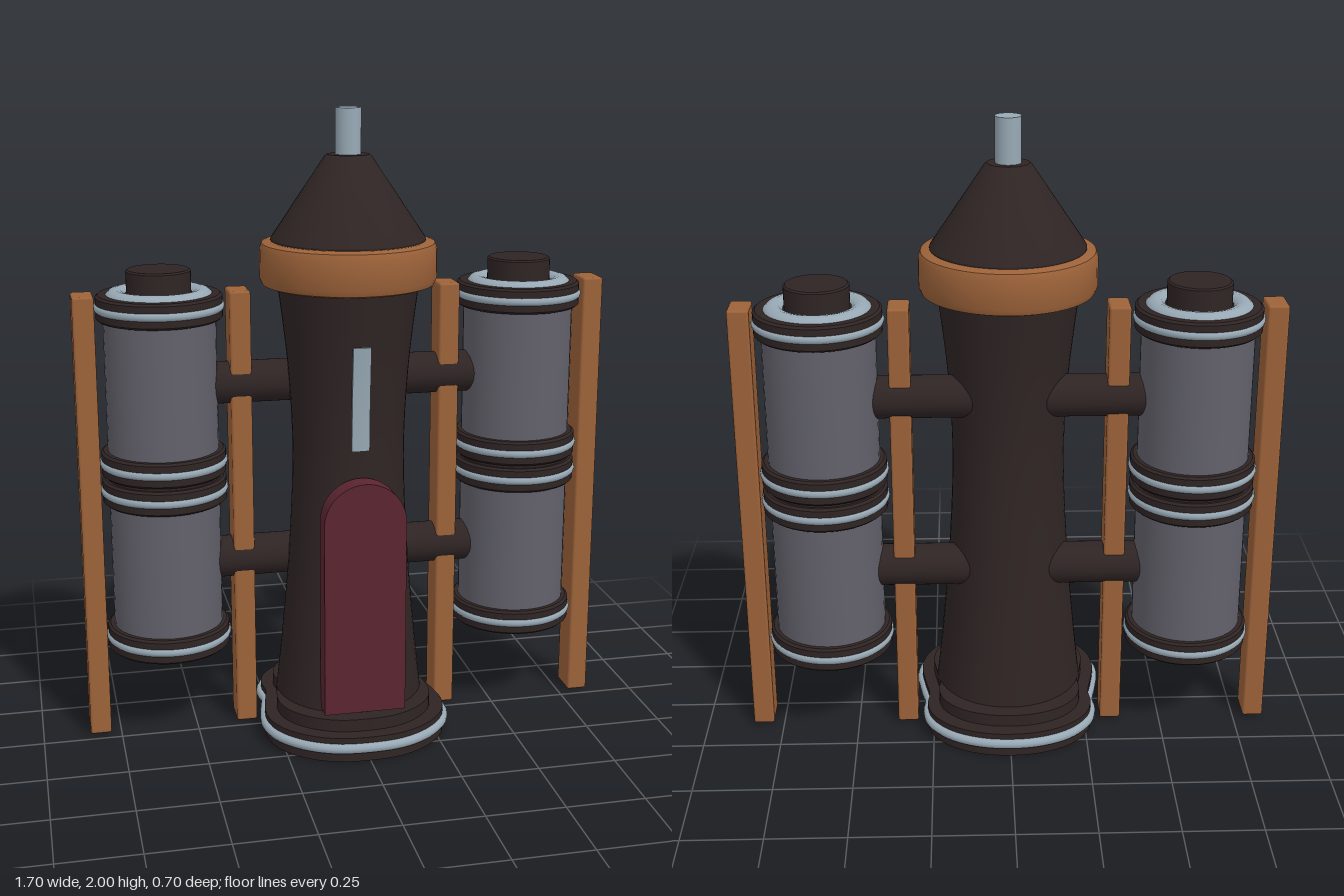
import * as THREE from 'three';
import { toCreasedNormals } from 'three/addons/utils/BufferGeometryUtils.js';
import { RoundedBoxGeometry } from 'three/addons/geometries/RoundedBoxGeometry.js';

const mat = (name, color, side = THREE.FrontSide) => {
  const m = new THREE.MeshStandardMaterial({ color, side });
  m.name = name;
  return m;
};

export function createModel() {
  const model = new THREE.Group();
  model.name = 'rocketTower';
  const dark = mat('darkIron', 0x2f2424);
  const copper = mat('copper', 0x9c6239);
  const steel = mat('tankGrey', 0x62616b);
  const silver = mat('silver', 0x98a9b5);
  const maroon = mat('doorRed', 0x5a2530);

  const add = (parent, name, geo, material, x = 0, y = 0, z = 0) => {
    const mesh = new THREE.Mesh(geo, material);
    mesh.name = name;
    mesh.position.set(x, y, z);
    parent.add(mesh);
    return mesh;
  };
  const v2 = (p) => new THREE.Vector2(p[0], p[1]);
  const lathe = (pts) => toCreasedNormals(new THREE.LatheGeometry(pts.map(v2), 48), 0.5);
  const cyl = (r, h) => new THREE.CylinderGeometry(r, r, h, 40);
  const ring = (r, tube) => new THREE.TorusGeometry(r, tube, 12, 48).rotateX(Math.PI / 2);

  // Waisted tower body
  const waist = new THREE.SplineCurve([
    [0.24, 0.1], [0.218, 0.3], [0.192, 0.6], [0.178, 0.92], [0.19, 1.2], [0.222, 1.48],
  ].map(v2));
  const profile = waist.getPoints(30);
  add(model, 'towerBody', new THREE.LatheGeometry(profile, 48), dark);
  const radiusAt = (y) => {
    const i = Math.max(1, profile.findIndex((p) => p.y >= y));
    const a = profile[i - 1], b = profile[i];
    return a.x + (b.x - a.x) * (y - a.y) / (b.y - a.y);
  };

  // Collar, cone roof and mast
  add(model, 'collar', lathe([[0, 1.46], [0.25, 1.46], [0.268, 1.467], [0.275, 1.485],
    [0.275, 1.575], [0.268, 1.593], [0.25, 1.6], [0, 1.6]]), copper);
  add(model, 'roof', lathe([[0.24, 1.59], [0.24, 1.605], [0.072, 1.855], [0.065, 1.86], [0, 1.86]]), dark);
  add(model, 'mast', cyl(0.04, 0.16), silver, 0, 1.92, 0);

  // Base plate pinched at the sides to clear the legs
  const half = [[0, 0.335], [0.11, 0.322], [0.205, 0.27], [0.27, 0.19], [0.292, 0.1],
    [0.28, 0], [0.265, -0.08], [0.27, -0.14], [0.252, -0.21], [0.19, -0.28], [0.1, -0.322], [0, -0.335]];
  const mirrored = half.slice(1, -1).reverse().map(([x, z]) => [-x, z]);
  const outline = new THREE.CatmullRomCurve3(
    [...half, ...mirrored].map(([x, z]) => new THREE.Vector3(x, 0, z)), true);
  const plate = (scale, height) => {
    const pts = outline.getPoints(72).slice(0, -1).map((p) => new THREE.Vector2(p.x * scale, -p.z * scale));
    const geo = new THREE.ExtrudeGeometry(new THREE.Shape(pts), { depth: height, bevelEnabled: false });
    return toCreasedNormals(geo.rotateX(-Math.PI / 2), 0.6);
  };
  add(model, 'basePlate', plate(1, 0.08), dark);
  add(model, 'baseStep', plate(0.86, 0.12), dark);
  add(model, 'baseTrim', new THREE.TubeGeometry(outline, 96, 0.016, 10, true), silver, 0, 0.045, 0);

  // Arched door
  const arch = new THREE.Shape();
  arch.moveTo(-0.13, 0.13);
  arch.lineTo(0.13, 0.13);
  arch.lineTo(0.13, 0.755);
  arch.absarc(0, 0.755, 0.13, 0, Math.PI, false);
  arch.closePath();
  const doorGeo = new THREE.ExtrudeGeometry(arch, { depth: 0.07, bevelEnabled: false, curveSegments: 20 });
  add(model, 'door', toCreasedNormals(doorGeo, 0.5), maroon, 0, 0, 0.187);

  // Slit window bent to follow the tower wall
  const slit = new THREE.BoxGeometry(0.056, 0.33, 0.009, 4, 14, 1).translate(0, 1.135, 0);
  const pos = slit.attributes.position;
  for (let i = 0; i < pos.count; i++) {
    const r = radiusAt(pos.getY(i)), x = pos.getX(i);
    pos.setZ(i, pos.getZ(i) + Math.sqrt(r * r - x * x) + 0.004);
  }
  slit.computeVertexNormals();
  add(model, 'slitWindow', slit, silver);

  // Side tanks with bands, legs and struts
  for (const s of [-1, 1]) {
    const side = new THREE.Group();
    side.name = s > 0 ? 'leftTankRack' : 'rightTankRack';
    side.position.z = -0.08;
    model.add(side);
    const x = s * 0.58;
    add(side, 'lowerTank', cyl(0.175, 0.54), steel, x, 0.57, 0);
    add(side, 'upperTank', cyl(0.175, 0.54), steel, x, 1.15, 0);
    add(side, 'tankJoint', cyl(0.18, 0.1), dark, x, 0.86, 0);
    for (const y of [0.325, 0.815, 0.905, 1.4]) {
      add(side, 'band', lathe([[0, -0.04], [0.188, -0.04], [0.196, -0.033],
        [0.196, 0.033], [0.188, 0.04], [0, 0.04]]), dark, x, y, 0);
      add(side, 'bandTrim', ring(0.186, 0.016), silver, x, y, 0);
    }
    add(side, 'lidRing', ring(0.134, 0.037), silver, x, 1.419, 0);
    add(side, 'lidCap', lathe([[0.1, -0.04], [0.1, 0.035], [0.094, 0.04], [0, 0.04]]), dark, x, 1.475, 0);
    for (const legX of [0.336, 0.816]) {
      add(side, 'leg', new RoundedBoxGeometry(0.067, 1.44, 0.105, 2, 0.008), copper, s * legX, 0.725, 0.004);
    }
    for (const y of [0.567, 1.147]) {
      add(side, 'strut', cyl(0.067, 0.32).rotateZ(Math.PI / 2), dark, s * 0.27, y, 0);
    }
  }
  // Silver trims stand proud of the bands
  model.traverse((o) => { if (o.name === 'bandTrim') o.scale.set(1, 1.0, 1); });
  return model;
}
